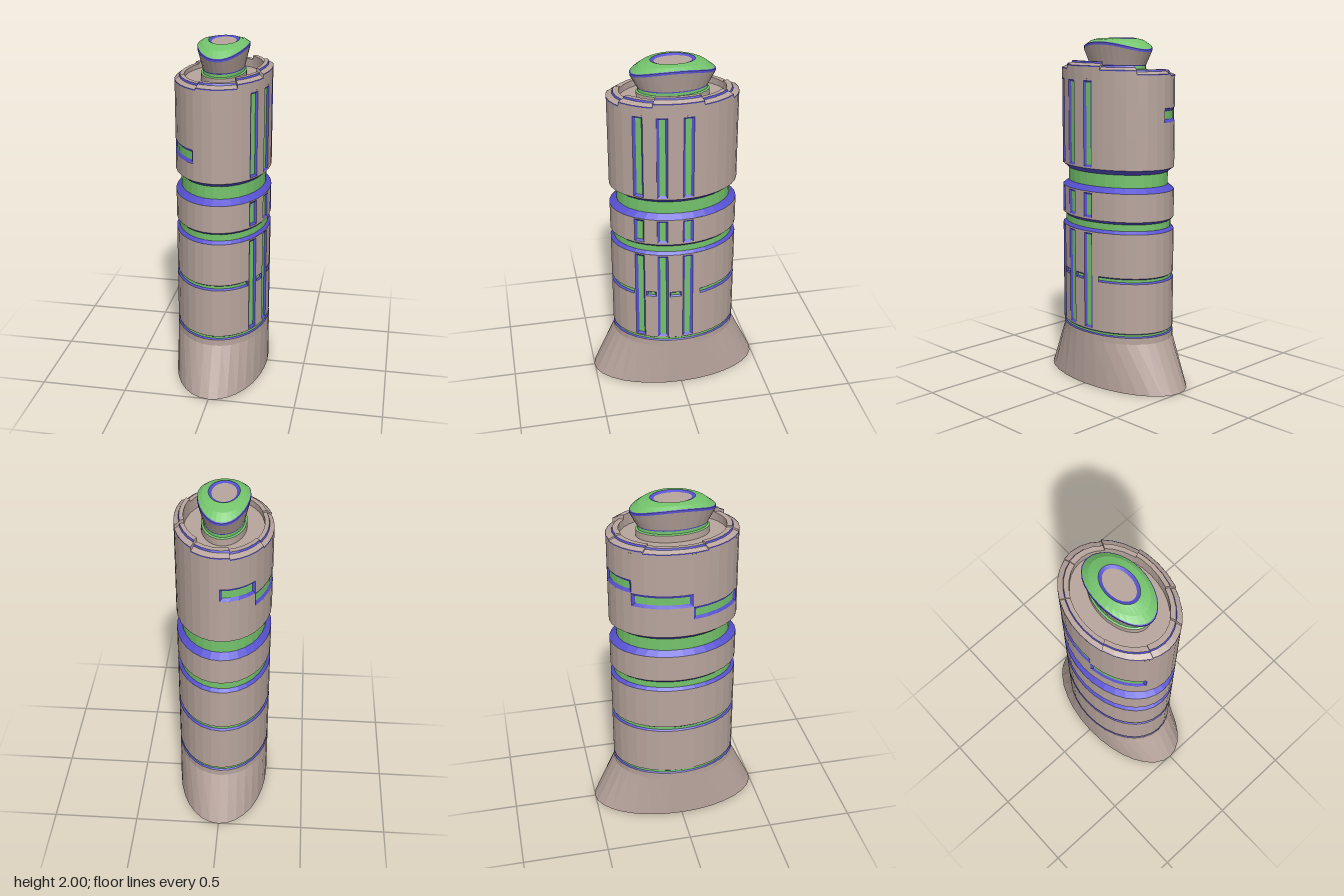
import * as THREE from 'three';

const RX = 0.272, RZ = 0.37, TAU = Math.PI * 2, SEG = 32;
const BODY = 0xb8a59d, GREEN = 0x74c46c, BLUE = 0x5650d0;

// Angles between a and b that follow the common facets, plus extra breaks
function angles(a, b, extra = []) {
  const list = [a, b, ...extra];
  for (let k = -SEG; k <= 2 * SEG; k++) {
    const t = (k / SEG) * TAU;
    if (t > a && t < b) list.push(t);
  }
  list.sort((p, q) => p - q);
  return list.filter((t, i) => i === 0 || t - list[i - 1] > 1e-5);
}
const FULL = angles(0, TAU);

// Elliptical ring; dip lowers its two z ends
const ring = (rx, rz, y, dip = 0) => t =>
  [rx * Math.cos(t), y - dip * Math.sin(t) ** 2, rz * Math.sin(t)];
const hull = (y, s = 1) => ring(RX * s, RZ * s, y);

function quad(out, a, b, c, d) {
  out.push(...a, ...d, ...c, ...a, ...c, ...b);
}

// Skin between successive rings, bottom to top on an outer face
function loft(rings, ts = FULL, out = []) {
  for (let r = 0; r + 1 < rings.length; r++)
    for (let i = 0; i + 1 < ts.length; i++)
      quad(out, rings[r](ts[i]), rings[r](ts[i + 1]), rings[r + 1](ts[i + 1]), rings[r + 1](ts[i]));
  return out;
}

function mesh(parent, name, color, positions) {
  const g = new THREE.BufferGeometry();
  g.setAttribute('position', new THREE.Float32BufferAttribute(positions, 3));
  g.computeVertexNormals();
  const m = new THREE.Mesh(g, new THREE.MeshStandardMaterial({ color, flatShading: true, side: THREE.DoubleSide }));
  m.name = name;
  parent.add(m);
}

// Wall section with rectangular openings, each filled by a bevelled sunken panel
function wall(parent, name, y0, y1, holes) {
  const group = new THREE.Group();
  group.name = name;
  parent.add(group);
  const a = -0.3, b = a + TAU, skin = [], floors = [], frames = [];
  const ts = angles(a, b, holes.flatMap(h => [h.t0, h.t1]));
  const ys = [...new Set([y0, y1, ...holes.flatMap(h => [h.y0, h.y1])])].sort((p, q) => p - q);
  for (let j = 0; j + 1 < ys.length; j++)
    for (let i = 0; i + 1 < ts.length; i++) {
      const t = (ts[i] + ts[i + 1]) / 2, y = (ys[j] + ys[j + 1]) / 2;
      if (holes.some(h => t > h.t0 && t < h.t1 && y > h.y0 && y < h.y1)) continue;
      loft([hull(ys[j]), hull(ys[j + 1])], [ts[i], ts[i + 1]], skin);
    }
  for (const h of holes) {
    const e = h.edge, dt = e / 0.36, s = 0.967;
    const inner = t => h.t0 + dt + ((t - h.t0) * (h.t1 - h.t0 - 2 * dt)) / (h.t1 - h.t0);
    const low = t => hull(h.y0 + e, s)(inner(t)), high = t => hull(h.y1 - e, s)(inner(t));
    const span = ts.filter(t => t >= h.t0 - 1e-6 && t <= h.t1 + 1e-6);
    loft([low, high], span, floors);
    loft([hull(h.y0), low], span, frames);
    loft([high, hull(h.y1)], span, frames);
    quad(frames, hull(h.y0)(h.t0), low(h.t0), high(h.t0), hull(h.y1)(h.t0));
    quad(frames, low(h.t1), hull(h.y0)(h.t1), hull(h.y1)(h.t1), high(h.t1));
  }
  mesh(group, name + 'Skin', BODY, skin);
  mesh(group, name + 'Panels', GREEN, floors);
  mesh(group, name + 'PanelFrames', BLUE, frames);
}

// Recessed band running all the way round
function band(parent, name, y0, y1, bevel, s) {
  mesh(parent, name, GREEN, loft([hull(y0 + bevel, s), hull(y1 - bevel, s)]));
  const edges = loft([hull(y0), hull(y0 + bevel, s)]);
  loft([hull(y1 - bevel, s), hull(y1)], FULL, edges);
  mesh(parent, name + 'Edges', BLUE, edges);
}

// One raised arc of the stepped rim, with closed ends
function rimArc(parent, t0, t1, h) {
  const ts = angles(t0, t1);
  const outer = [hull(1.78), hull(h - 0.025), hull(h - 0.01, 0.91)];
  const top = [hull(h, 0.895), hull(h, 0.81), hull(1.785, 0.81)];
  const skin = loft(outer, ts);
  loft(top, ts, skin);
  const section = [...outer, ...top];
  for (const t of [t0, t1])
    for (let i = 1; i + 1 < section.length; i++)
      skin.push(...section[0](t), ...section[i](t), ...section[i + 1](t));
  mesh(parent, 'rimArc', BODY, skin);
  const lines = loft([outer[2], top[0]], ts);
  loft([hull(h - 0.029, 1.003), hull(h - 0.023, 1.001)], ts, lines);
  mesh(parent, 'rimEdge', BLUE, lines);
}

export function createModel() {
  const model = new THREE.Group();
  model.name = 'tower';

  // Flared foot
  mesh(model, 'foot', BODY, loft([ring(0, 0, 0), ring(RX, 0.503, 0), hull(0.28), hull(0.318)]));

  // Vertical slots on the +x side, repeated in each section
  const slotSpans = [[-0.177, -0.0135], [0.218, 0.388], [0.603, 0.779]];
  const slots = (y0, y1) => slotSpans.map(([t0, t1]) => ({ t0, t1, y0, y1, edge: 0.013 }));

  // Thin groove broken by the slots
  const groove = [[0.008, 0.195], [0.41, 0.58], [0.805, TAU - 0.2]]
    .map(([t0, t1]) => ({ t0, t1, y0: 0.634, y1: 0.666, edge: 0.008 }));

  // Stepped windows around the -x side
  const windows = [[1.99, 2.98, 1.38], [2.98, 3.96, 1.46], [3.96, 4.71, 1.54]]
    .map(([t0, t1, y0]) => ({ t0, t1, y0, y1: y0 + 0.08, edge: 0.018 }));

  // Stacked body sections and the bands between them
  band(model, 'footGroove', 0.318, 0.342, 0.006, 0.975);
  wall(model, 'lowerBody', 0.342, 0.92, [...slots(0.35, 0.912), ...groove]);
  band(model, 'lowerBand', 0.92, 0.99, 0.016, 0.945);
  wall(model, 'middleBody', 0.99, 1.15, slots(1.0, 1.143));
  band(model, 'upperBand', 1.15, 1.28, 0.028, 0.89);
  wall(model, 'upperBody', 1.28, 1.78, [...slots(1.288, 1.772), ...windows]);

  // Rim of eight arcs, highest at +x
  const rim = new THREE.Group();
  rim.name = 'rim';
  model.add(rim);
  const stops = [-0.334, 0.443, 1.062, 1.91, 2.75, 3.75, 4.51, 5.31, TAU - 0.334];
  const heights = [1.875, 1.855, 1.832, 1.822, 1.812, 1.822, 1.832, 1.855];
  heights.forEach((h, i) => rimArc(rim, stops[i], stops[i + 1], h));
  mesh(model, 'topDeck', BODY, loft([hull(1.785, 0.82), ring(0.12, 0.2, 1.785)]));

  // Neck
  mesh(model, 'neck', BODY, loft([ring(0.125, 0.205, 1.785), ring(0.125, 0.205, 1.825)]));
  mesh(model, 'neckRing', GREEN, loft([ring(0.125, 0.205, 1.825), ring(0.115, 0.195, 1.83), ring(0.115, 0.195, 1.846)]));
  mesh(model, 'neckEdge', BLUE, loft([ring(0.115, 0.195, 1.846), ring(0.116, 0.2, 1.853)]));

  // Saddle-shaped head with a sunken oval top
  const low = ring(0.143, 0.238, 1.965, 0.042), lip = ring(0.143, 0.238, 1.978, 0.042);
  const crown = ring(0.085, 0.125, 2, 0.003);
  mesh(model, 'head', BODY, loft([ring(0.116, 0.2, 1.853), low]));
  mesh(model, 'headLip', BLUE, loft([low, lip, ring(0.139, 0.232, 1.982, 0.042)]));
  mesh(model, 'headCrown', GREEN, loft([ring(0.139, 0.232, 1.982, 0.042), ring(0.12, 0.19, 1.994, 0.02), crown]));
  mesh(model, 'headOval', BLUE, loft([crown, ring(0.068, 0.105, 1.991)]));
  mesh(model, 'headCap', BODY, loft([ring(0.068, 0.105, 1.991), ring(0, 0, 1.991)]));

  return model;
}
